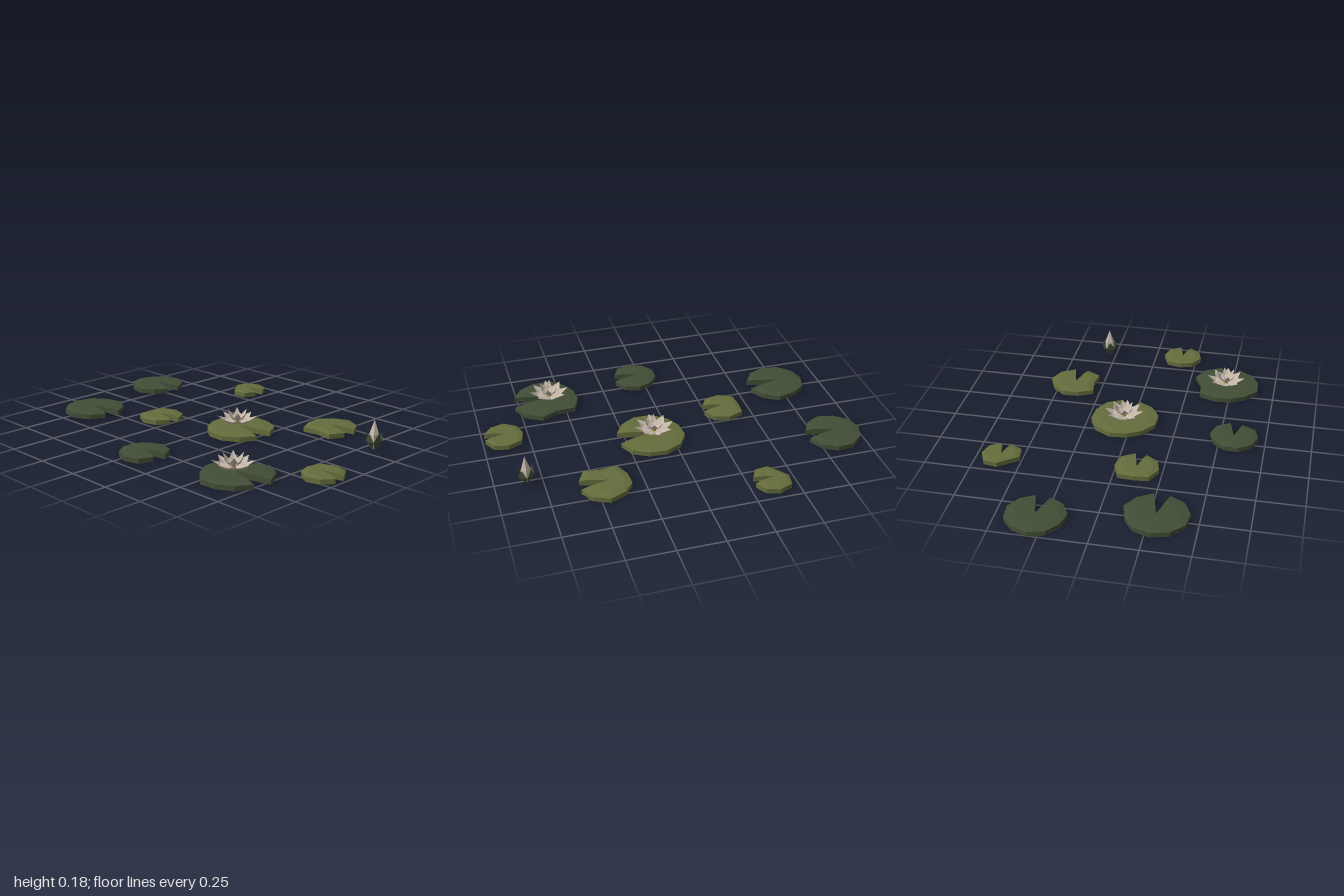
import * as THREE from 'three';

const material = (name, color) => {
  const m = new THREE.MeshStandardMaterial({ color, flatShading: true, side: THREE.DoubleSide });
  m.name = name;
  return m;
};

// Flat-shaded mesh from a list of triangle corners
function meshFrom(name, corners, mat) {
  const g = new THREE.BufferGeometry().setFromPoints(corners);
  g.computeVertexNormals();
  const mesh = new THREE.Mesh(g, mat);
  mesh.name = name;
  return mesh;
}

// Notched leaf: the same radial section repeated round the rim, closed at the notch
function lilyPad(name, mat, x, z, radii) {
  const n = radii.length;
  const apexX = -0.015;
  const sections = radii.map((r, i) => {
    const a = THREE.MathUtils.degToRad(15 + (328 * i) / (n - 1));
    const px = Math.cos(a) * r, pz = -Math.sin(a) * r;
    const at = (t, y) => new THREE.Vector3(apexX + (px - apexX) * t, y, pz * t);
    return [at(0, 0.034), at(0.72, 0.033), at(1, 0.026), at(1, 0), at(0, 0)];
  });
  const out = [];
  for (let i = 0; i < n - 1; i++) {
    const A = sections[i], B = sections[i + 1];
    for (let s = 0; s < 4; s++) {
      if (s < 3) out.push(A[s], A[s + 1], B[s + 1]);
      if (s > 0) out.push(A[s], B[s + 1], B[s]);
    }
  }
  // Notch walls
  const first = sections[0], last = sections[n - 1];
  for (let s = 1; s < 4; s++) {
    out.push(first[4], first[s], first[s - 1]);
    out.push(last[4], last[s - 1], last[s]);
  }
  const mesh = meshFrom(name, out, mat);
  mesh.position.set(x, 0, z);
  return mesh;
}

// Ring of pointed, keeled petals; base, mid and tip are [radius, height]
function petalRing(name, mat, count, base, mid, tip, halfWidth, lift, turn = 0) {
  const out = [];
  for (let i = 0; i < count; i++) {
    const a = turn + (i / count) * Math.PI * 2;
    const p = (r, y, w = 0) => new THREE.Vector3(
      Math.cos(a) * r - Math.sin(a) * w, y, -Math.sin(a) * r - Math.cos(a) * w);
    const b = p(...base), m = p(...mid), t = p(...tip);
    const l = p(mid[0], mid[1] + lift, halfWidth);
    const r = p(mid[0], mid[1] + lift, -halfWidth);
    out.push(b, m, l, b, r, m, m, t, l, m, r, t);
  }
  return meshFrom(name, out, mat);
}

export function createModel() {
  const model = new THREE.Group();
  model.name = 'waterLilies';
  const dark = material('darkLeaf', 0x424e37);
  const olive = material('oliveLeaf', 0x656d3c);
  const petal = material('palePetal', 0xc3b6a8);
  const gold = material('goldStamen', 0xb08a2e);

  // Leaves, with rim radii counter-clockwise from the notch
  model.add(
    lilyPad('leafBackRight', dark, -0.845, -0.295,
      [0.147, 0.151, 0.158, 0.16, 0.155, 0.158, 0.158, 0.152, 0.157, 0.15, 0.144]),
    lilyPad('leafFrontRight', dark, -0.73, 0.286,
      [0.163, 0.163, 0.173, 0.161, 0.168, 0.166, 0.166, 0.17, 0.167, 0.163, 0.159]),
    lilyPad('leafBack', olive, -0.372, -0.612,
      [0.097, 0.104, 0.107, 0.113, 0.096, 0.076, 0.103, 0.108, 0.093]),
    lilyPad('leafBackLeft', olive, 0.452, -0.404,
      [0.138, 0.144, 0.15, 0.138, 0.139, 0.132, 0.15, 0.107, 0.15, 0.136]),
    lilyPad('leafMiddle', olive, -0.345, 0.115,
      [0.112, 0.119, 0.119, 0.129, 0.102, 0.123, 0.12, 0.116, 0.107]),
    lilyPad('leafLeft', olive, 0.885, 0.168,
      [0.105, 0.112, 0.112, 0.118, 0.107, 0.109, 0.113, 0.107, 0.105]),
    lilyPad('leafFront', dark, 0.04, 0.578,
      [0.128, 0.131, 0.131, 0.124, 0.124, 0.126, 0.128, 0.131, 0.133, 0.119]),
    lilyPad('leafCentre', olive, 0.115, -0.045,
      [0.181, 0.185, 0.18, 0.187, 0.19, 0.188, 0.178, 0.178, 0.188, 0.19, 0.185, 0.182]),
    lilyPad('leafFrontLeft', dark, 0.59, 0.473,
      [0.194, 0.197, 0.196, 0.151, 0.197, 0.18, 0.173, 0.174, 0.192, 0.184, 0.185, 0.182]));

  // Open flowers
  for (const [name, x, z] of [['flowerCentre', 0.094, -0.045], ['flowerFrontLeft', 0.572, 0.468]]) {
    const flower = new THREE.Group();
    flower.name = name;
    const stamen = new THREE.Mesh(new THREE.ConeGeometry(0.014, 0.03, 6), gold);
    stamen.name = 'stamen';
    stamen.position.y = 0.06;
    flower.add(
      petalRing('outerPetals', petal, 8, [0.004, 0.044], [0.062, 0.05], [0.108, 0.083], 0.03, 0.012),
      petalRing('innerPetals', petal, 6, [0.006, 0.048], [0.036, 0.072], [0.06, 0.114], 0.019, 0.008, 0.3),
      stamen);
    flower.position.set(x, 0, z);
    model.add(flower);
  }

  // Closed bud held by green sepals
  const bud = new THREE.Group();
  bud.name = 'bud';
  const profile = [[0.006, 0.02], [0.026, 0.06], [0.027, 0.1], [0, 0.178]];
  const core = new THREE.Mesh(
    new THREE.LatheGeometry(profile.map(p => new THREE.Vector2(...p)), 5), petal);
  core.name = 'budPetals';
  core.rotation.y = Math.PI;
  bud.add(core, petalRing('sepals', dark, 5,
    [0.006, 0.012], [0.036, 0.06], [0.04, 0.112], 0.025, 0.008, -Math.PI / 2));
  bud.position.set(0.837, 0, -0.284);
  model.add(bud);

  return model;
}
